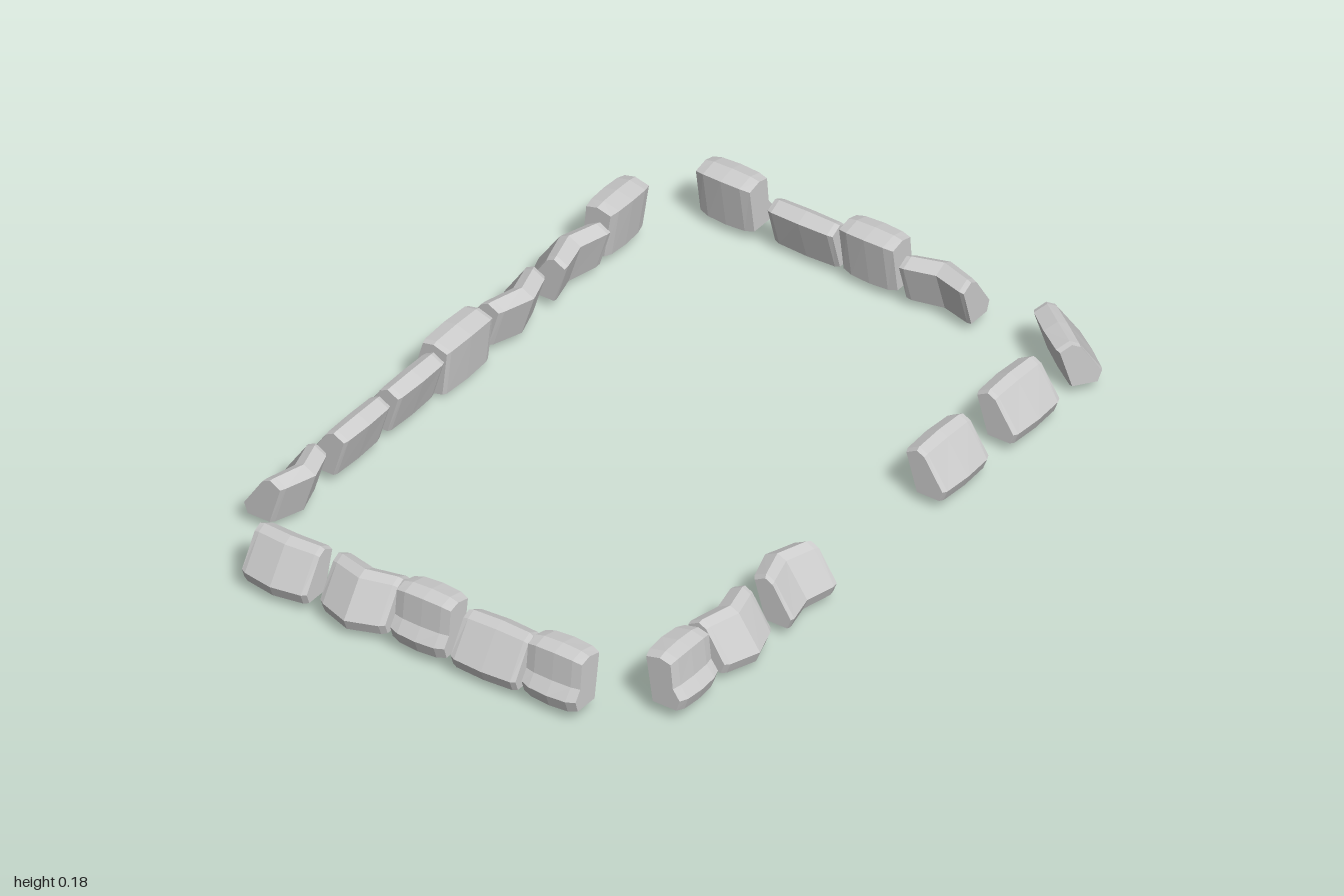
import * as THREE from 'three';

const material = new THREE.MeshStandardMaterial({ color: 0xcccccc, flatShading: true });

// Stone cross-sections as [outward depth, height], from the inner top edge over to the bottom
const LOW = {
  half: 0.095, stations: [[-1, 0.88], [-0.86, 0.97], [0, 1.03], [0.86, 0.97], [1, 0.88]],
  profile: [[-0.06, 0.137], [-0.025, 0.155], [0, 0.143], [0.06, 0.055], [0.048, 0.025], [-0.025, 0.025]],
};
const TALL = {
  half: 0.079, stations: [[-1, 0.83], [-0.68, 0.96], [0, 1.01], [0.68, 0.96], [1, 0.83]],
  profile: [[-0.058, 0.166], [-0.01, 0.177], [0.028, 0.168], [0.036, 0.093], [0.06, 0.062], [0.048, 0.028], [-0.035, 0.028]],
};
const DEEP = {
  half: 0.094, stations: LOW.stations,
  profile: [[-0.05, 0.143], [-0.005, 0.157], [0.03, 0.15], [0.057, 0.06], [0.045, 0.02], [0.005, 0.003], [-0.035, 0.012]],
};

// Loft a faceted stone along x; bend pushes its middle outward (+) or inward (-)
function stoneGeometry({ half, stations, profile }, bend) {
  const n = profile.length, positions = [], index = [];
  const cy = profile.reduce((s, p) => s + p[1], 0) / n;
  for (const [u, scale] of stations) {
    const shift = bend * (0.6 - Math.abs(u));
    for (const [d, y] of profile) {
      positions.push(u * half, cy + (y - cy) * (0.4 + 0.6 * scale), d * scale + shift);
    }
  }
  for (let s = 0; s < stations.length - 1; s++) {
    for (let j = 0; j < n; j++) {
      const a = s * n + j, b = s * n + (j + 1) % n;
      index.push(a, b, a + n, b, b + n, a + n);
    }
  }
  const last = (stations.length - 1) * n;
  for (let j = 1; j < n - 1; j++) {
    index.push(0, j + 1, j, last, last + j, last + j + 1);
  }
  const g = new THREE.BufferGeometry();
  g.setAttribute('position', new THREE.Float32BufferAttribute(positions, 3));
  g.setIndex(index);
  const flat = g.toNonIndexed();
  flat.computeVertexNormals();
  return flat;
}

const BEND = 0.028;

// Each side: facing angle, fixed line, and stones as [position along side, type, bend]
const sides = [
  { name: 'front', angle: 0, at: (t) => [t, 0.608], stones: [
    [-0.752, TALL, 0], [-0.54, LOW, BEND], [-0.298, LOW, -BEND], [0.343, LOW, 0], [0.635, LOW, 0]] },
  { name: 'back', angle: Math.PI, at: (t) => [t, -0.613], stones: [
    [-0.655, LOW, -BEND], [-0.408, LOW, 0], [-0.185, LOW, 0], [0.028, DEEP, 0],
    [0.245, LOW, -BEND], [0.485, LOW, BEND], [0.682, TALL, 0]] },
  { name: 'right', angle: -Math.PI / 2, at: (t) => [-0.931, t], stones: [
    [-0.425, LOW, 0.01], [-0.2, LOW, BEND], [-0.005, TALL, 0], [0.19, LOW, 0], [0.38, TALL, 0]] },
  { name: 'left', angle: Math.PI / 2, at: (t) => [0.924, t], stones: [
    [-0.43, TALL, 0], [-0.2, LOW, 0], [-0.01, TALL, 0], [0.193, LOW, BEND]] },
];

export function createModel() {
  const model = new THREE.Group();
  model.name = 'stoneBorder';

  const addStone = (parent, name, type, bend, x, z, angle) => {
    const stone = new THREE.Mesh(stoneGeometry(type, bend), material);
    stone.name = name;
    stone.position.set(x, 0, z);
    stone.rotation.y = angle;
    parent.add(stone);
  };

  // Straight rows
  for (const { name, angle, at, stones } of sides) {
    const row = new THREE.Group();
    row.name = name + 'Row';
    stones.forEach(([t, type, bend], i) => {
      const [x, z] = at(t);
      addStone(row, `${name}Stone${i + 1}`, type, bend, x, z, angle);
    });
    model.add(row);
  }

  // Turned stone at the front left corner
  addStone(model, 'cornerStone', LOW, 0, 0.893, 0.57, 0.95);
  return model;
}
